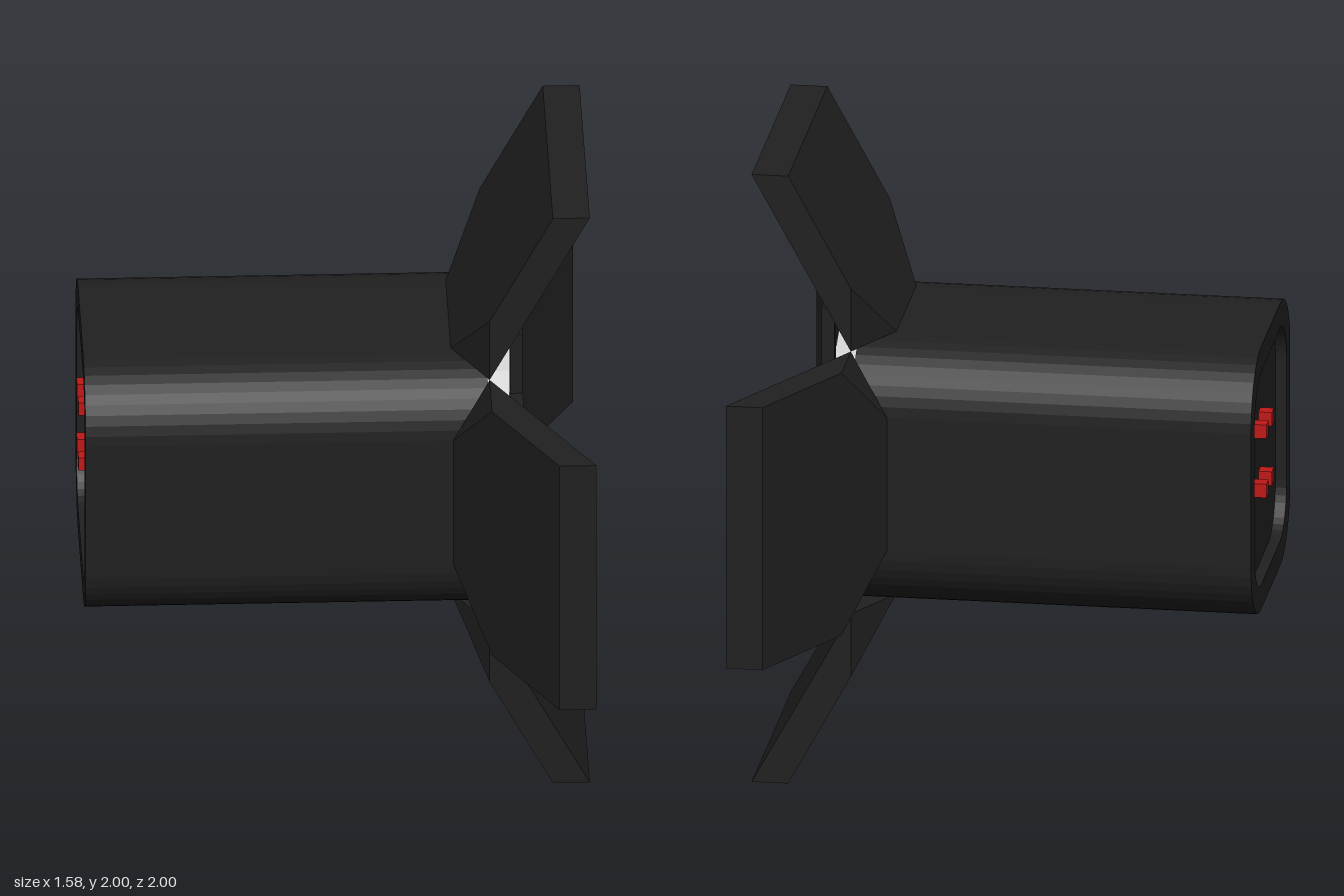
import * as THREE from 'three';
import { ConvexGeometry } from 'three/addons/geometries/ConvexGeometry.js';

const HALF = 0.432;   // half width of the housing
const FLAT = 0.22;    // half width of its flat sides between the rounded corners

function roundedSquare(half, radius, PathType = THREE.Shape) {
  const path = new PathType();
  const c = half - radius;
  path.moveTo(half, -c);
  [[1, 1], [-1, 1], [-1, -1], [1, -1]].forEach(([sx, sy], i) => {
    path.absarc(sx * c, sy * c, radius, i * Math.PI / 2, (i + 1) * Math.PI / 2, false);
  });
  path.closePath();
  return path;
}

// Extrudes a shape along x between two positions
function extrudeX(shape, x0, x1) {
  return new THREE.ExtrudeGeometry(shape, { depth: x1 - x0, bevelEnabled: false, curveSegments: 5 })
    .rotateY(Math.PI / 2)
    .translate(x0, 0, 0);
}

export function createModel() {
  const model = new THREE.Group();
  model.name = 'stageLight';
  const lamp = new THREE.Group();
  lamp.name = 'lamp';
  lamp.position.y = 1;
  model.add(lamp);

  const black = new THREE.MeshStandardMaterial({ color: 0x202020, flatShading: true });
  const grey = new THREE.MeshStandardMaterial({ color: 0xcccccc, flatShading: true });
  const red = new THREE.MeshStandardMaterial({ color: 0xc01818, flatShading: true });

  const add = (name, geometry, material, x = 0, y = 0, z = 0) => {
    const mesh = new THREE.Mesh(geometry, material);
    mesh.name = name;
    mesh.position.set(x, y, z);
    lamp.add(mesh);
    return mesh;
  };

  // Housing with a raised rim around the recessed back panel
  const radius = HALF - FLAT;
  add('housing', extrudeX(roundedSquare(HALF, radius), -0.75, 0.47), black);
  const rim = roundedSquare(HALF, radius);
  rim.holes.push(roundedSquare(HALF - 0.08, radius - 0.06, THREE.Path));
  add('backRim', extrudeX(rim, -0.785, -0.75), black);

  // Four buttons on the back panel
  for (const y of [-0.065, 0.13]) {
    for (const z of [-0.12, 0]) {
      add('button', new THREE.BoxGeometry(0.045, 0.045, 0.045), red, -0.77, y, z);
    }
  }

  // Lens
  add('lens', new THREE.CylinderGeometry(HALF, HALF, 0.19, 32).rotateZ(Math.PI / 2), grey, 0.455);

  // Four flared barn doors, chamfered where they meet the rounded corners
  const points = [];
  for (const s of [-1, 1]) {
    points.push(
      new THREE.Vector3(0.36, HALF, s * FLAT),
      new THREE.Vector3(0.473, HALF, s * HALF),
      new THREE.Vector3(0.473, 0.639, s * HALF),
      new THREE.Vector3(0.67, 1, s * HALF),
      new THREE.Vector3(0.785, 1, s * HALF),
    );
  }
  const door = new ConvexGeometry(points);
  for (let i = 0; i < 4; i++) {
    add('barnDoor', door, black).rotation.x = i * Math.PI / 2;
  }

  // Crossed guard bars in front of the lens
  for (const s of [-0.305, 0.305]) {
    add('verticalBar', new THREE.BoxGeometry(0.04, 1.07, 0.04), black, 0.56, 0, s);
    add('horizontalBar', new THREE.BoxGeometry(0.04, 0.04, 1.07), black, 0.56, s, 0);
  }

  return model;
}
